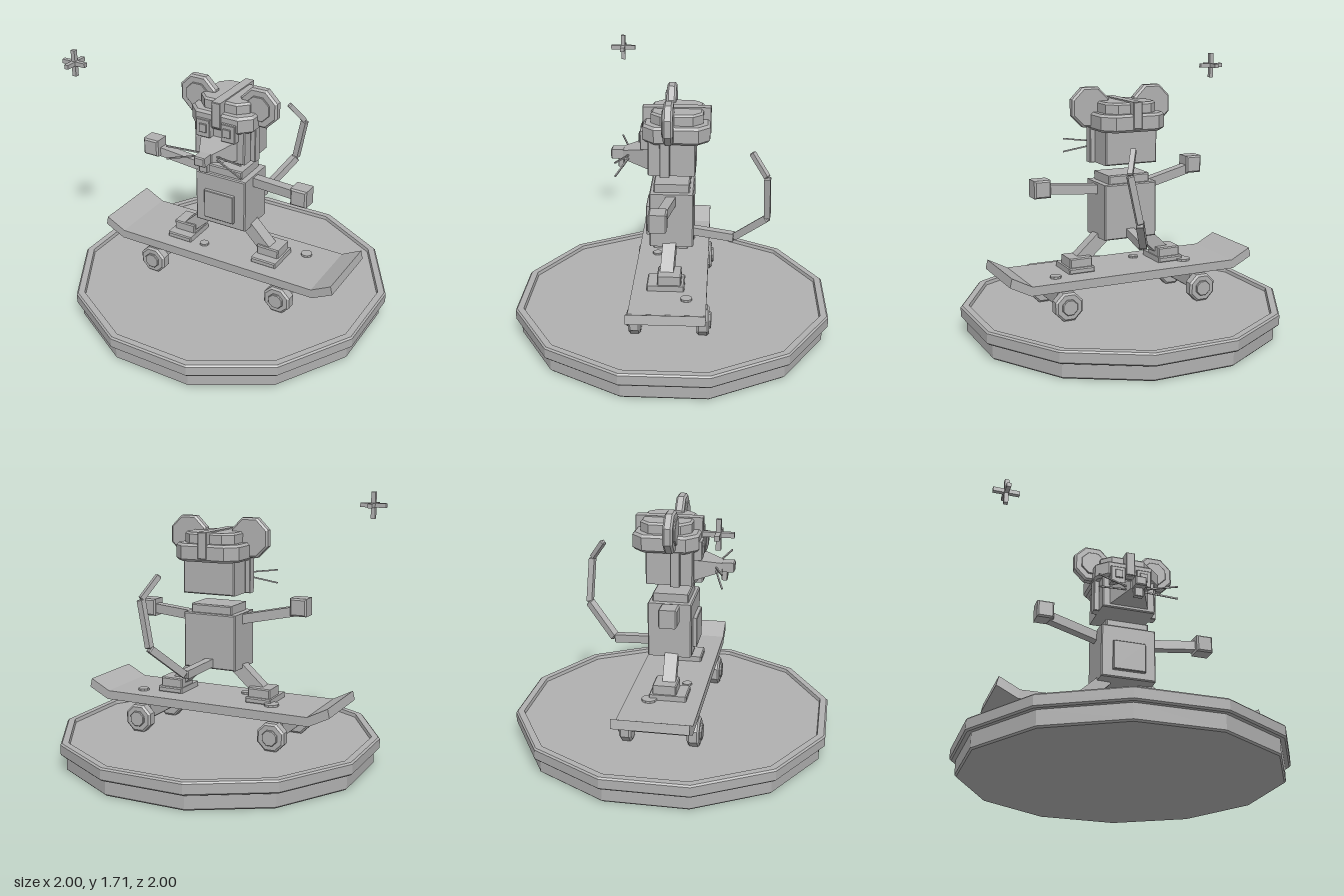
import * as THREE from 'three';

const grey = new THREE.MeshStandardMaterial({ color: 0xb0b0b0 });
grey.name = 'grey';

function flat(geo) {
  const g = geo.index ? geo.toNonIndexed() : geo;
  g.computeVertexNormals();
  return g;
}

// Polygon extruded along z, centred on z = 0, with a small chamfer inside its outline
function prism(points, depth, bevel = 0.008) {
  const shape = new THREE.Shape(points.map(([x, y]) => new THREE.Vector2(x, y)));
  const geo = new THREE.ExtrudeGeometry(shape, {
    depth: depth - 2 * bevel, bevelEnabled: bevel > 0, bevelThickness: bevel,
    bevelSize: bevel, bevelOffset: -bevel, bevelSegments: 1,
  });
  geo.translate(0, 0, -depth / 2 + bevel);
  return flat(geo);
}

const rect = (w, h) => [[-w / 2, -h / 2], [w / 2, -h / 2], [w / 2, h / 2], [-w / 2, h / 2]];

// Octagon with flat sides at distance r
function octagon(r) {
  return Array.from({ length: 8 }, (_, i) => {
    const a = (i + 0.5) * Math.PI / 4, R = r / Math.cos(Math.PI / 8);
    return [R * Math.cos(a), R * Math.sin(a)];
  });
}

// Rectangle with cut corners
function cutRect(w, h, c) {
  const x = w / 2, y = h / 2;
  return [[-x + c, -y], [x - c, -y], [x, -y + c], [x, y - c], [x - c, y], [-x + c, y], [-x, y - c], [-x, -y + c]];
}

export function createModel() {
  const model = new THREE.Group();
  model.name = 'skateboardingMouse';

  function add(name, geo, x = 0, y = 0, z = 0, parent = model) {
    const mesh = new THREE.Mesh(geo, grey);
    mesh.name = name;
    mesh.position.set(x, y, z);
    parent.add(mesh);
    return mesh;
  }
  // Chamfered box from its limits on each axis
  function box(name, [x0, x1], [y0, y1], [z0, z1], bevel = 0.007) {
    return add(name, prism(rect(x1 - x0, y1 - y0), z1 - z0, bevel),
      (x0 + x1) / 2, (y0 + y1) / 2, (z0 + z1) / 2);
  }
  // Straight bar between two points
  function bar(name, from, to, w, h = w, bevel = 0.006) {
    const a = new THREE.Vector3(...from), b = new THREE.Vector3(...to);
    const mesh = add(name, prism(rect(w, h), a.distanceTo(b), bevel));
    mesh.position.copy(a).add(b).multiplyScalar(0.5);
    mesh.lookAt(b);
    return mesh;
  }

  // Twelve-sided pedestal with a raised rim
  const k = 1 / Math.cos(Math.PI / 12);
  const profile = [[0, 0], [0.955, 0], [0.965, 0.01], [0.965, 0.1], [0.99, 0.1], [1, 0.11], [1, 0.17],
    [0.99, 0.18], [0.95, 0.18], [0.945, 0.158], [0, 0.158]].map(([r, y]) => new THREE.Vector2(r * k, y));
  add('pedestal', flat(new THREE.LatheGeometry(profile, 12, Math.PI / 12)));

  // Skateboard deck with raised ends
  add('deck', prism([[-0.705, 0.345], [0.705, 0.345], [0.838, 0.413], [0.825, 0.47], [0.695, 0.402],
    [-0.695, 0.402], [-0.825, 0.47], [-0.838, 0.413]], 0.465, 0), 0, 0, 0.003);
  for (const [x, z, r] of [[-0.405, -0.085, 0.048], [0.5, -0.107, 0.036], [-0.14, 0.11, 0.03]])
    add('deckBolt', flat(new THREE.CylinderGeometry(r, r, 0.015, 10)), x, 0.408, z);

  // Trucks and wheels
  for (const x of [-0.465, 0.465]) {
    add('truck', prism([[-0.19, 0.23], [0.19, 0.23], [0.19, 0.28], [0.17, 0.345], [-0.17, 0.345], [-0.19, 0.28]],
      0.1), x, 0, 0).rotation.y = Math.PI / 2;
    for (const s of [-1, 1]) {
      add('wheel', prism(octagon(0.088), 0.075, 0.012), x, 0.247, s * 0.21);
      add('wheelHub', prism(octagon(0.048), 0.03, 0.004), x, 0.247, s * 0.246);
    }
  }

  // Body
  box('body', [-0.178, 0.178], [0.605, 0.957], [-0.137, 0.14]);
  box('bellyPanel', [-0.105, 0.105], [0.652, 0.845], [0.13, 0.165], 0.004);
  box('collar', [-0.14, 0.14], [0.95, 1.01], [-0.112, 0.115]);

  // Legs and shoes
  for (const s of [-1, 1]) {
    box('sole', [s * 0.313 - 0.086, s * 0.313 + 0.086], [0.4, 0.437], [-0.09, 0.145]);
    box('shoe', [s * 0.31 - 0.076, s * 0.31 + 0.076], [0.43, 0.495], [-0.07, 0.08]);
    bar('leg', [s * 0.3, 0.455, 0.022], [s * 0.115, 0.63, 0.01], 0.083);
  }

  // Arms and hands, one raised higher
  for (const [shoulder, wrist, hand] of [
    [[-0.15, 0.915, 0], [-0.5, 0.985, 0.055], [-0.533, 1.014, 0.062]],
    [[0.15, 0.912, 0], [0.5, 0.931, 0.055], [0.529, 0.935, 0.062]]]) {
    bar('arm', shoulder, wrist, 0.06);
    add('hand', prism(rect(0.108, 0.112), 0.112, 0.01), ...hand);
  }

  // Tail in tapering segments
  const tail = [[0, 0.645, -0.12], [0.04, 0.62, -0.395], [0.165, 0.81, -0.595], [0.225, 1.1, -0.585], [0.155, 1.235, -0.49]];
  for (let i = 0; i < 4; i++) bar('tailSegment', tail[i], tail[i + 1], 0.052 - i * 0.007);

  // Head and helmet
  box('head', [-0.175, 0.175], [1.08, 1.32], [-0.147, 0.147]);
  const rim = add('helmetRim', prism(cutRect(0.43, 0.41, 0.07), 0.11, 0.015), 0, 1.345, -0.028);
  const crown = add('helmetCrown', prism(cutRect(0.34, 0.32, 0.06), 0.08, 0.012), 0, 1.427, -0.03);
  rim.rotation.x = crown.rotation.x = -Math.PI / 2;
  box('helmetStripe', [-0.03, 0.03], [1.31, 1.475], [-0.238, 0.187], 0.004);

  // Snout, nose and teeth
  const snout = new THREE.CylinderGeometry(Math.SQRT1_2, Math.SQRT2, 1, 4);
  snout.rotateY(Math.PI / 4).rotateX(Math.PI / 2);
  const pos = snout.attributes.position;
  for (let i = 0; i < pos.count; i++) {
    const tip = pos.getZ(i) > 0;
    const [w, h] = tip ? [0.045, 0.028] : [0.13, 0.067];
    const sx = Math.abs(pos.getX(i)) < 1e-4 ? 0 : Math.sign(pos.getX(i));
    const sy = Math.abs(pos.getY(i)) < 1e-4 ? 0 : Math.sign(pos.getY(i));
    pos.setXYZ(i, sx * w, 1.167 + sy * h, tip ? 0.31 : 0.14);
  }
  add('snout', flat(snout));
  box('nose', [-0.037, 0.037], [1.137, 1.197], [0.3, 0.385]);
  box('teeth', [-0.028, 0.028], [1.08, 1.15], [0.305, 0.34], 0.003);

  for (const s of [-1, 1]) {
    // Eyes
    box('eye', [s * 0.087 - 0.048, s * 0.087 + 0.048], [1.235, 1.352], [0.14, 0.196], 0.004);
    box('pupil', [s * 0.083 - 0.025, s * 0.083 + 0.025], [1.27, 1.325], [0.19, 0.206], 0.002);
    // Ears
    add('ear', prism(octagon(0.123), 0.06, 0.012), s * 0.212, 1.43, 0.016);
    add('innerEar', prism(octagon(0.077), 0.02, 0.003), s * 0.212, 1.43, 0.046);
    // Chin straps
    box('strap', [s * 0.192 - 0.018, s * 0.192 + 0.018], [1.08, 1.31], [0.01, 0.072], 0.004);
    // Whiskers
    for (const t of [-1, 1])
      bar('whisker', [s * 0.045, 1.16 + t * 0.008, 0.27], [s * 0.26, 1.148 + t * 0.043, 0.337], 0.009, 0.009, 0);
  }

  // Floating sparkle of three crossed bars
  for (const [w, h, d] of [[0.166, 0.027, 0.027], [0.027, 0.166, 0.027], [0.027, 0.027, 0.166]])
    add('sparkle', new THREE.BoxGeometry(w, h, d), -0.875, 1.625, 0.39);

  return model;
}
